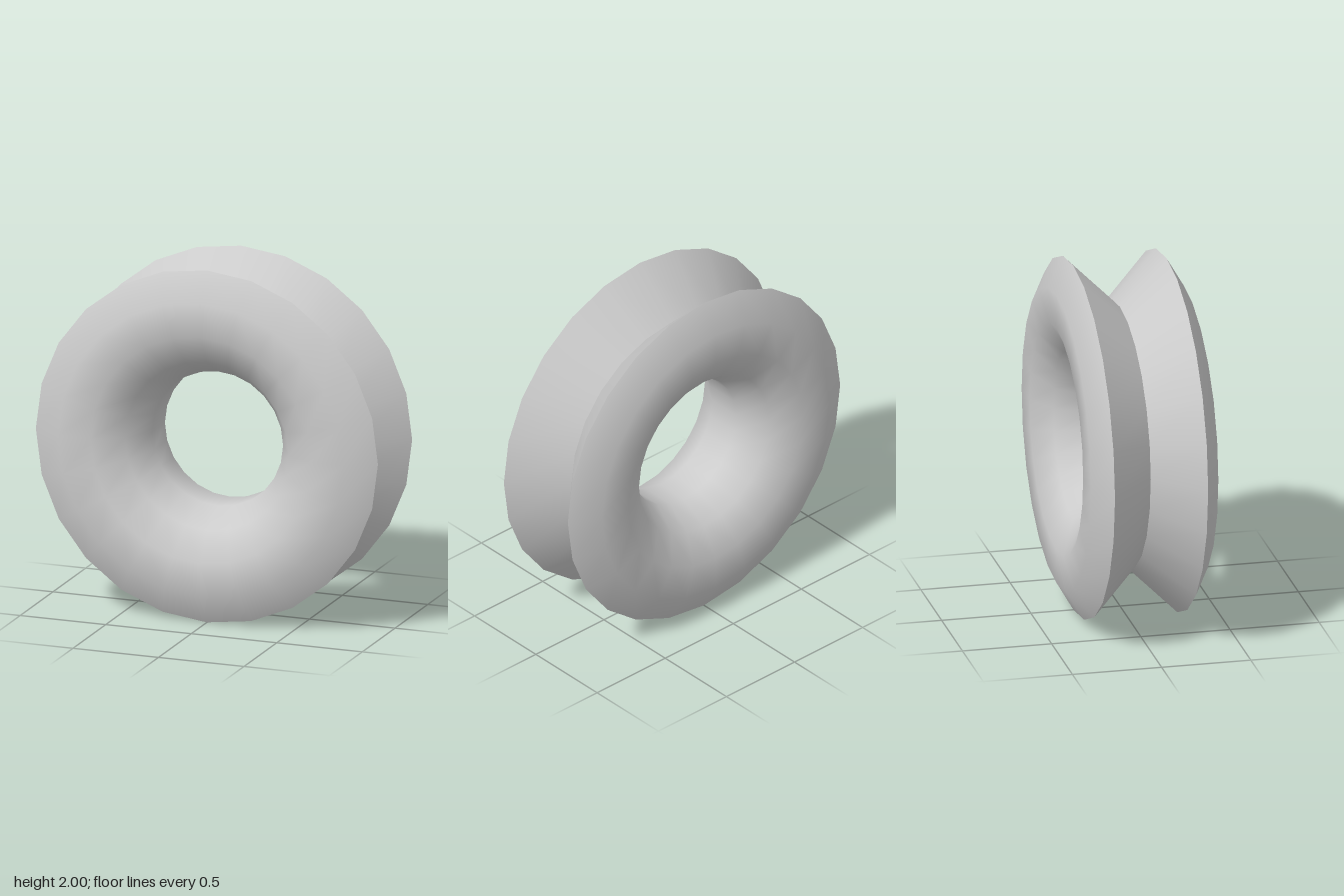
import * as THREE from 'three';

const SIDES = 24;
const TUBE = 1 / (2 + Math.SQRT1_2); // radius of the rounded section
const RING = 2 * TUBE;               // distance of that section from the axis

export function createModel() {
  const model = new THREE.Group();
  model.name = 'groovedRing';
  const grey = new THREE.MeshStandardMaterial({ color: 0xcccccc });
  grey.name = 'light grey';

  // Point on the round section, angle in degrees from the outer side
  const rim = (deg) => {
    const a = THREE.MathUtils.degToRad(deg);
    return new THREE.Vector2(RING + TUBE * Math.cos(a), TUBE * Math.sin(a));
  };
  const root = new THREE.Vector2(RING, 0);

  // Turn a profile around the front-to-back axis
  const turn = (name, points) => {
    const geometry = new THREE.LatheGeometry(points, SIDES);
    geometry.rotateX(Math.PI / 2);
    geometry.translate(0, 1, 0);
    const mesh = new THREE.Mesh(geometry, grey);
    mesh.name = name;
    model.add(mesh);
  };

  // Rounded body: three quarters of a circle in 30 degree steps
  const body = [];
  for (let deg = 45; deg <= 315; deg += 30) body.push(rim(deg));
  turn('roundedBody', body);

  // V groove around the outside, with sharp edges
  turn('grooveBackWall', [rim(-45), root]);
  turn('grooveFrontWall', [root, rim(45)]);

  return model;
}
